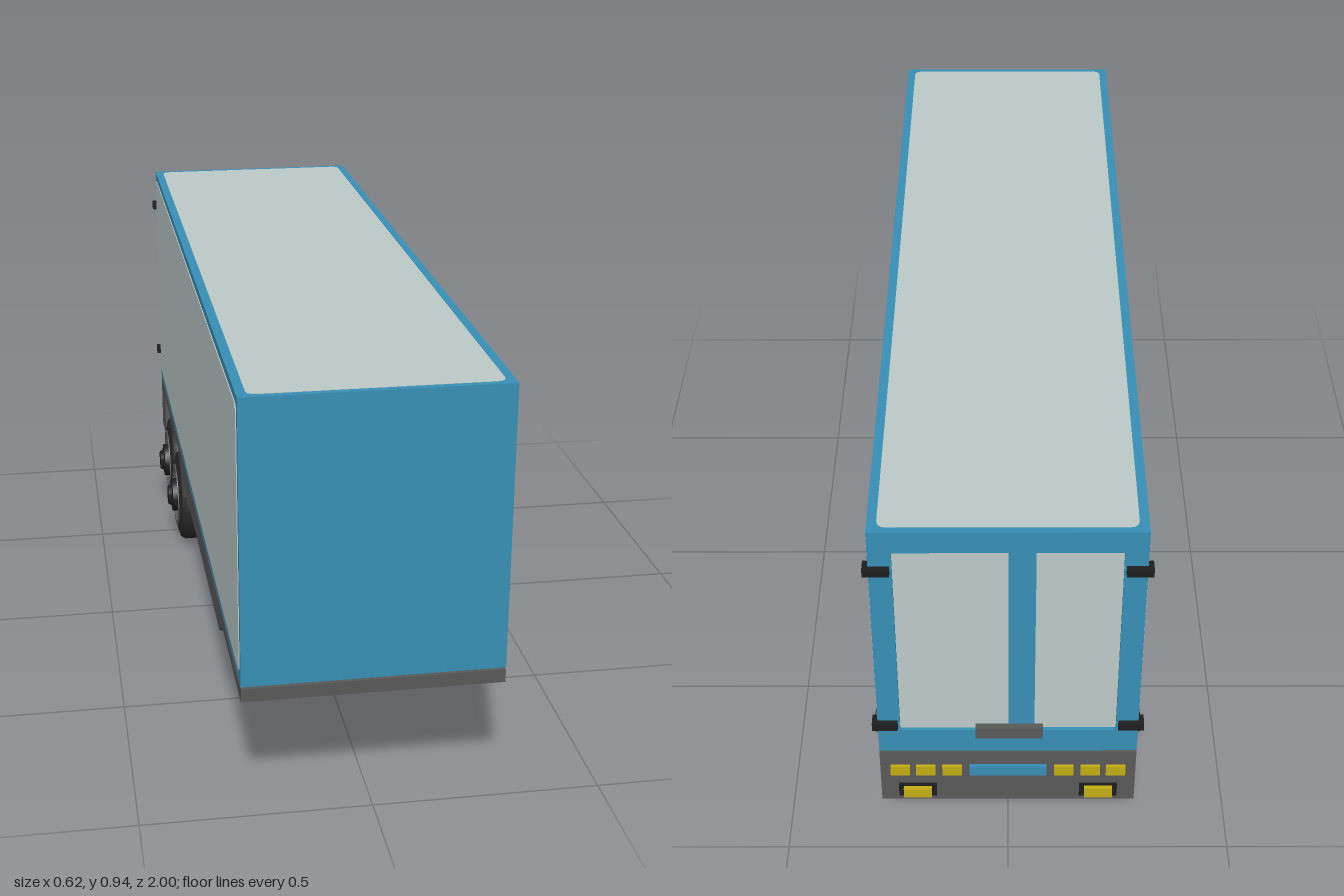
import * as THREE from 'three';
import { toCreasedNormals } from 'three/addons/utils/BufferGeometryUtils.js';

const material = (name, color) => Object.assign(new THREE.MeshStandardMaterial({ color }), { name });

export function createModel() {
  const blue = material('blue paint', 0x3790b5);
  const pale = material('pale panel', 0xbccac8);
  const grey = material('chassis grey', 0x595959);
  const rubber = material('tyre black', 0x292929);
  const dark = material('dark metal', 0x1e1e1e);
  const yellow = material('yellow lamp', 0xc4ae14);

  const trailer = new THREE.Group();
  trailer.name = 'trailer';

  const add = (name, geometry, mat, parent = trailer) => {
    const mesh = new THREE.Mesh(geometry, mat);
    mesh.name = name;
    parent.add(mesh);
    return mesh;
  };
  // Box given by its limits on each axis
  const box = (name, mat, [x0, x1], [y0, y1], [z0, z1]) =>
    add(name, new THREE.BoxGeometry(x1 - x0, y1 - y0, z1 - z0), mat)
      .position.set((x0 + x1) / 2, (y0 + y1) / 2, (z0 + z1) / 2);

  const rect = (path, x0, x1, y0, y1) =>
    path.moveTo(x0, y0).lineTo(x1, y0).lineTo(x1, y1).lineTo(x0, y1).closePath();

  // Thin plate with rounded corners, lying in XY and centred
  const plate = (w, h, r, depth) => {
    const a = w / 2, b = h / 2, s = new THREE.Shape();
    s.moveTo(-a + r, -b).lineTo(a - r, -b).quadraticCurveTo(a, -b, a, -b + r);
    s.lineTo(a, b - r).quadraticCurveTo(a, b, a - r, b);
    s.lineTo(-a + r, b).quadraticCurveTo(-a, b, -a, b - r);
    s.lineTo(-a, -b + r).quadraticCurveTo(-a, -b, -a + r, -b);
    return new THREE.ExtrudeGeometry(s, { depth, bevelEnabled: false, curveSegments: 3 });
  };

  // Cargo body with side and roof panels
  box('cargoBody', blue, [-0.281, 0.281], [0.31, 0.944], [-0.975, 1]);
  for (const side of [-1, 1]) {
    const panel = add('sidePanel', plate(1.955, 0.59, 0.02, 0.002), pale);
    panel.rotation.y = side * Math.PI / 2;
    panel.position.set(side * 0.281, 0.63, 0.008);
  }
  const roof = add('roofPanel', plate(0.522, 1.955, 0.02, 0.002), pale);
  roof.rotation.x = -Math.PI / 2;
  roof.position.set(0, 0.943, 0.008);

  // Rear door frame with two recessed panels
  const doors = [[-0.233, -0.057], [-0.001, 0.233]];
  const frame = new THREE.Shape();
  rect(frame, -0.281, 0.281, 0.31, 0.944);
  for (const [x0, x1] of doors) {
    const hole = new THREE.Path();
    rect(hole, x0, x1, 0.375, 0.89);
    frame.holes.push(hole);
    box('doorPanel', pale, [x0, x1], [0.375, 0.89], [-0.977, -0.974]);
  }
  add('doorFrame', new THREE.ExtrudeGeometry(frame, { depth: 0.01, bevelEnabled: false }), blue)
    .position.z = -0.985;
  box('doorHandle', grey, [-0.075, 0.07], [0.362, 0.395], [-0.998, -0.984]);

  // Door hinges wrapped round the rear corners
  for (const y of [0.845, 0.395]) {
    for (const side of [-1, 1]) {
      const hinge = add('hinge', new THREE.BoxGeometry(0.055, 0.02, 0.028), dark);
      hinge.position.set(side * 0.265, y, -0.982);
    }
  }

  // Chassis: side outline in (z, y) swept across the width
  const outline = new THREE.Shape([
    [1, 0.305], [-0.985, 0.305], [-0.985, 0.15], [-0.873, 0.15], [-0.873, 0.275],
    [-0.405, 0.275], [-0.34, 0.236], [0.6, 0.236], [0.66, 0.275], [1, 0.275],
  ].map(([z, y]) => new THREE.Vector2(z, y)));
  const chassis = new THREE.ExtrudeGeometry(outline, { depth: 0.562, bevelEnabled: false });
  chassis.translate(0, 0, -0.281).rotateY(-Math.PI / 2);
  add('chassis', chassis, grey);

  // Rear lamps and centre plate
  for (const side of [-1, 1]) {
    for (const x of [0.237, 0.181, 0.123]) {
      add('upperLamp', new THREE.BoxGeometry(0.043, 0.028, 0.009), yellow)
        .position.set(side * x, 0.25, -0.988);
    }
    add('lampBracket', new THREE.BoxGeometry(0.084, 0.038, 0.008), dark)
      .position.set(side * 0.2, 0.185, -0.986);
    add('lowerLamp', new THREE.BoxGeometry(0.062, 0.028, 0.014), yellow)
      .position.set(side * 0.2, 0.185, -0.993);
  }
  box('rearPlate', blue, [-0.085, 0.085], [0.236, 0.266], [-0.993, -0.984]);

  // Wheels: profiles are [radius, distance out from the centre line]
  const turned = (points) => toCreasedNormals(
    new THREE.LatheGeometry(points.map(([r, x]) => new THREE.Vector2(r, x)), 20)
      .rotateZ(-Math.PI / 2), 0.6);
  const tyre = turned([[0, 0.19], [0.095, 0.19], [0.118, 0.194], [0.128, 0.207],
    [0.128, 0.268], [0.12, 0.28], [0.1, 0.286], [0.088, 0.287], [0.086, 0.278]]);
  const rim = turned([[0.089, 0.28], [0.088, 0.29], [0.08, 0.29], [0.074, 0.28],
    [0.055, 0.283], [0, 0.283]]);
  const hub = turned([[0.047, 0.28], [0.046, 0.3], [0.03, 0.302], [0.026, 0.311], [0, 0.312]]);
  const bolt = new THREE.CylinderGeometry(0.004, 0.004, 0.006, 6).rotateZ(-Math.PI / 2);

  for (const z of [-0.46, -0.73]) {
    for (const side of [-1, 1]) {
      const wheel = new THREE.Group();
      wheel.name = 'wheel';
      wheel.position.set(0, 0.128, z);
      if (side < 0) wheel.rotation.y = Math.PI;
      add('tyre', tyre, rubber, wheel);
      add('rim', rim, grey, wheel);
      add('hub', hub, dark, wheel);
      for (let i = 0; i < 10; i++) {
        const a = i * Math.PI / 5;
        add('bolt', bolt, grey, wheel).position.set(0.284, 0.058 * Math.cos(a), 0.058 * Math.sin(a));
      }
      trailer.add(wheel);
    }
  }
  return trailer;
}
